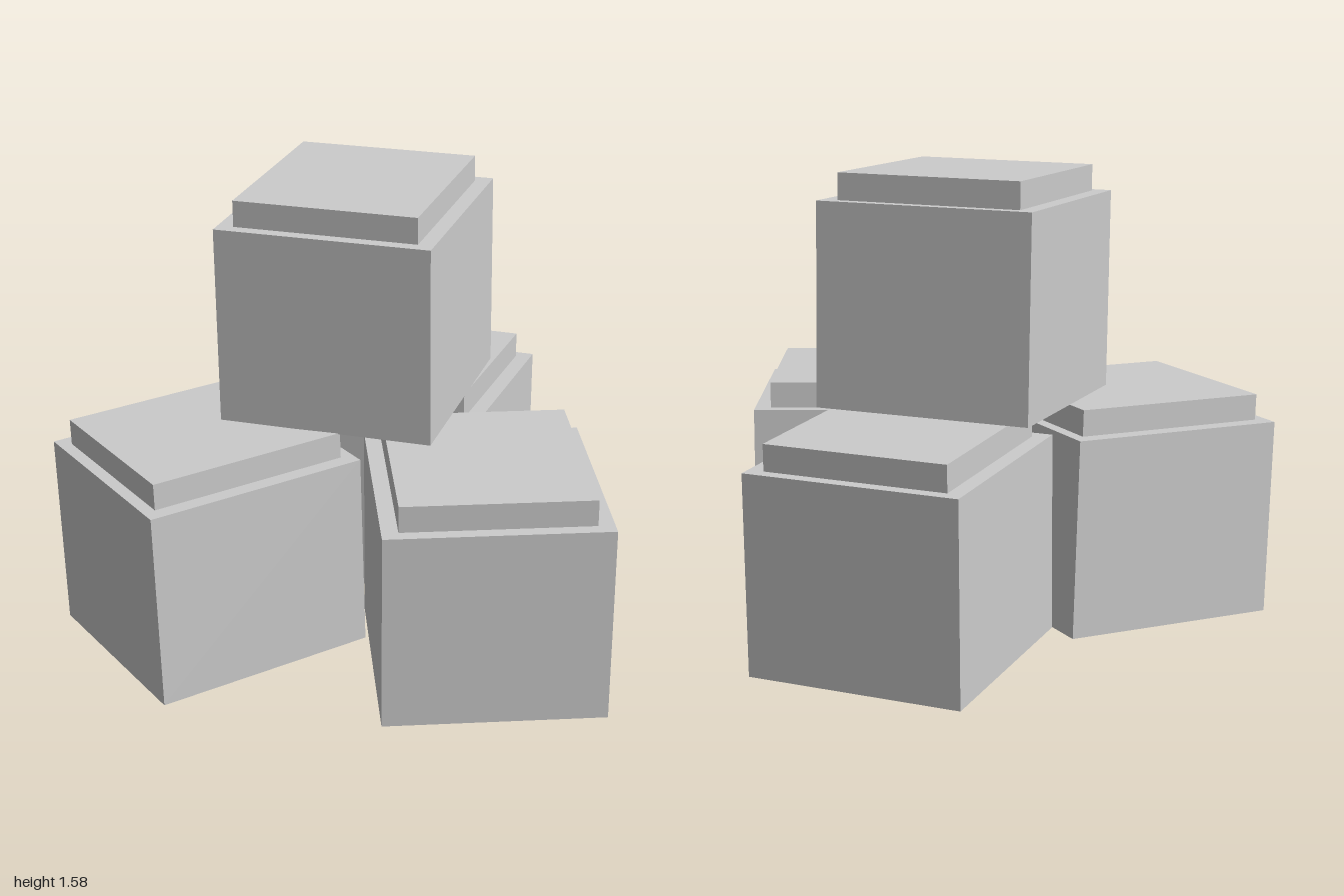
import * as THREE from 'three';

const WIDTH = 0.742, HEIGHT = 0.682, DEPTH = 0.784;
const LID = { width: 0.632, height: 0.09, depth: 0.698 };
const LEAN = 0.027; // each crate tips slightly towards its own front

const material = new THREE.MeshStandardMaterial({ color: 0xcccccc, flatShading: true });

function box(name, width, height, depth, baseY) {
  const mesh = new THREE.Mesh(new THREE.BoxGeometry(width, height, depth), material);
  mesh.name = name;
  mesh.position.y = baseY + height / 2;
  return mesh;
}

// One crate with its raised lid; the origin is the middle of its base
function crate(name, x, y, z, yaw) {
  const group = new THREE.Group();
  group.name = name;
  group.add(box('crateBody', WIDTH, HEIGHT, DEPTH, 0));
  group.add(box('crateLid', LID.width, LID.height, LID.depth, HEIGHT));
  group.position.set(x, y, z);
  group.rotation.set(LEAN, yaw, 0, 'YXZ');
  return group;
}

export function createModel() {
  const model = new THREE.Group();
  model.name = 'crateStack';
  // Three crates on the ground facing outwards, one on top
  model.add(
    crate('rightCrate', -0.465, 0.011, 0.39, -0.576),
    crate('leftCrate', 0.475, 0.011, 0.223, 0.505),
    crate('backCrate', -0.119, 0.011, -0.496, Math.PI + 0.1),
    crate('topCrate', -0.122, 0.8, -0.09, 0.122),
  );
  return model;
}
